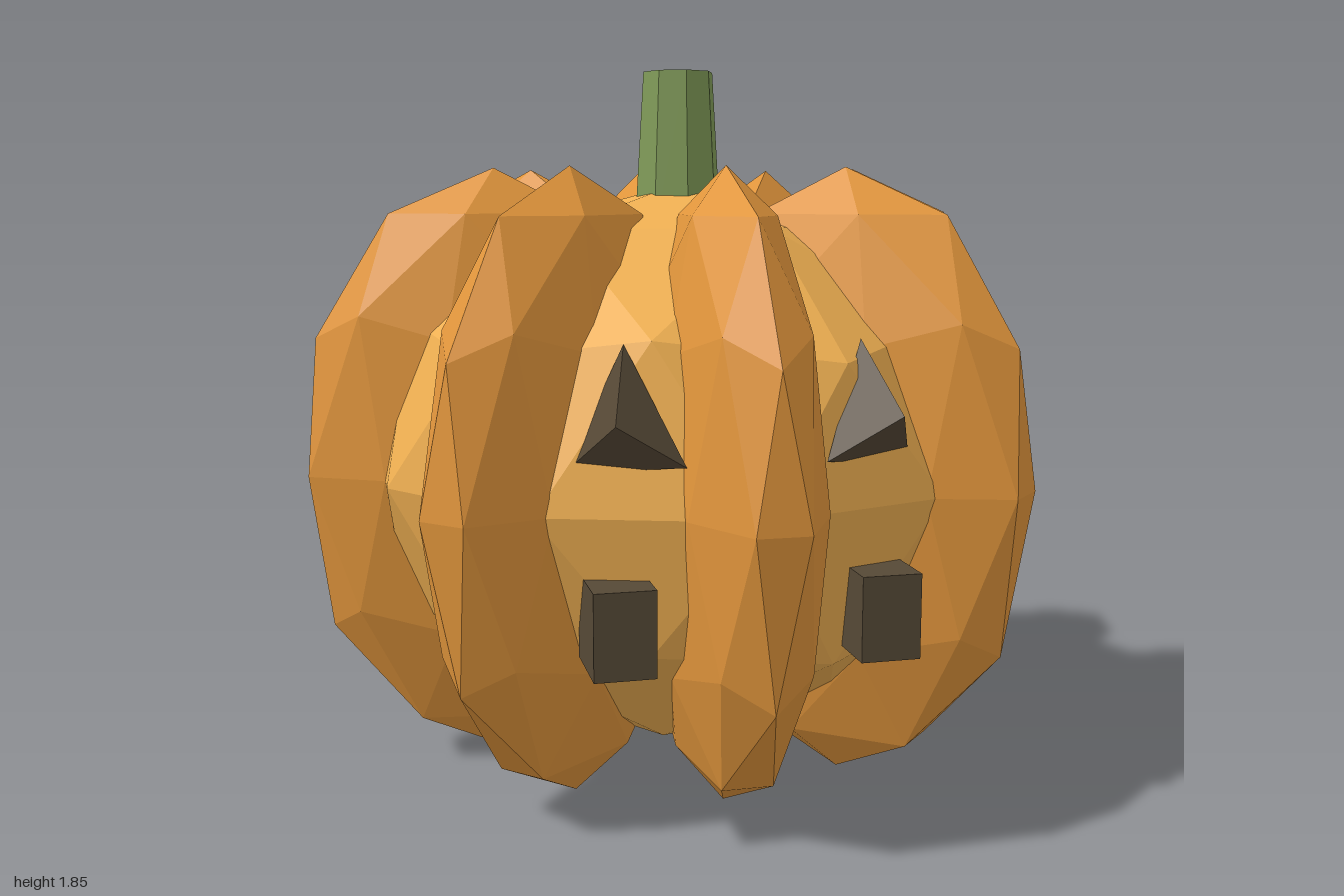
import * as THREE from 'three';
import { ConvexGeometry } from 'three/addons/geometries/ConvexGeometry.js';

const MID = 0.795; // height of the widest point

const paint = (color) => new THREE.MeshStandardMaterial({ color, flatShading: true });

// Low-poly ball standing on a vertex, one upper vertex facing +z
function ball(rx, ry, rz) {
  const g = new THREE.IcosahedronGeometry(1, 1);
  g.rotateX(-Math.atan((1 + Math.sqrt(5)) / 2));
  g.scale(rx, ry, rz);
  return g;
}

export function createModel() {
  const model = new THREE.Group();
  model.name = 'carvedPumpkin';
  const skin = paint(0xe2963c);
  const flesh = paint(0xf0b052);
  const green = paint(0x809a58);
  const dark = paint(0x564936);

  const add = (name, geometry, material, x = 0, y = 0, z = 0, parent = model) => {
    const mesh = new THREE.Mesh(geometry, material);
    mesh.name = name;
    mesh.position.set(x, y, z);
    parent.add(mesh);
    return mesh;
  };

  // Inner body seen between the ribs
  add('core', ball(0.85, 0.755, 0.85).rotateY(Math.PI / 2), flesh, 0, MID, 0);

  // Eight ribs around the body
  const ribs = new THREE.Group();
  ribs.name = 'ribs';
  model.add(ribs);
  const ribShape = ball(0.208, MID, 0.526);
  for (let i = 0; i < 8; i++) {
    const a = (i * Math.PI) / 4;
    const rib = add('rib', ribShape, skin, 0.5 * Math.sin(a), MID, 0.5 * Math.cos(a), ribs);
    rib.rotation.y = a;
  }

  // Tapered stem
  add('stem', new THREE.CylinderGeometry(0.095, 0.12, 0.42, 8), green, 0, 1.635, 0);

  // Eyes and teeth, mirrored left and right
  for (const [side, s] of [['left', 1], ['right', -1]]) {
    const corners = [
      [0.285, 1.185, 0.67],
      [0.42, 0.89, 0.65],
      [0.165, 0.915, 0.79],
      [0.335, 1.02, 0.83],
    ].map(([x, y, z]) => new THREE.Vector3(s * x, y, z));
    add(side + 'Eye', new ConvexGeometry(corners), dark);
    add(side + 'Tooth', new THREE.BoxGeometry(0.145, 0.205, 0.2), dark, s * 0.315, 0.547, 0.73);
  }

  return model;
}
